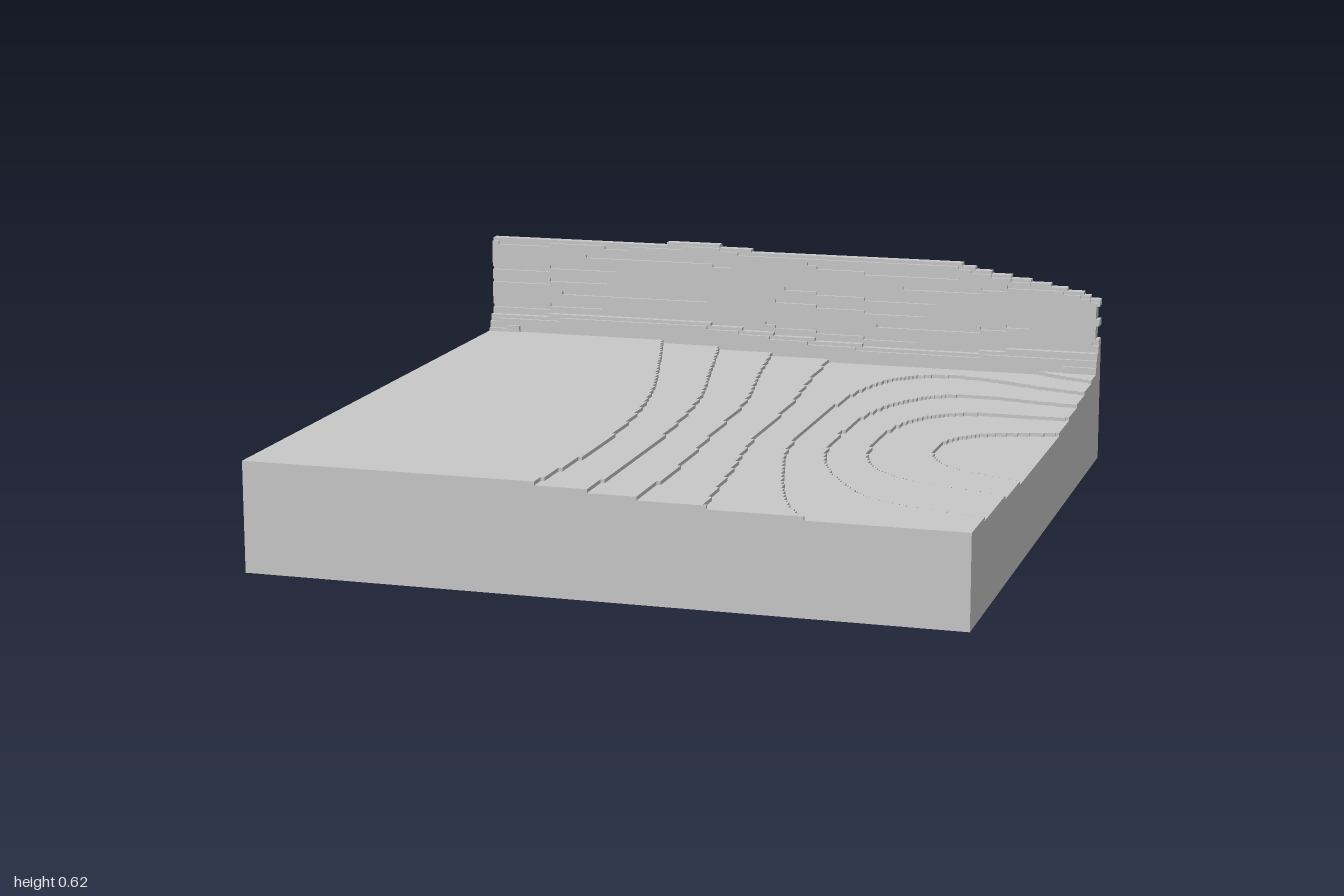
import * as THREE from 'three';

const N = 192;            // cells along the long side
const S = 2 / N;          // size of one cell
const WALL_BASE = 21;     // row at which the back wall starts
const WALL_ROWS = 42;

// Linear interpolation through [x, y] points
function along(points, x) {
  for (let i = 1; i < points.length; i++) {
    const [x0, y0] = points[i - 1], [x1, y1] = points[i];
    if (x <= x1) return THREE.MathUtils.mapLinear(x, x0, x1, y0, y1);
  }
  return points[points.length - 1][1];
}

// Smooth curve through evenly spaced values, x from -1 to 1
function smooth(values, x) {
  const n = values.length - 1;
  const f = (x + 1) / 2 * n;
  const i = Math.min(n - 1, Math.floor(f)), t = f - i;
  const [p0, p1, p2, p3] = [-1, 0, 1, 2].map((k) => {
    const q = i + k;
    if (q < 0) return 2 * values[0] - values[1];
    if (q > n) return 2 * values[n] - values[n - 1];
    return values[q];
  });
  return p1 + 0.5 * t * (p2 - p0 + t * (2 * p0 - 5 * p1 + 4 * p2 - p3 + t * (3 * (p1 - p2) + p3 - p0)));
}

// Stepped relief over a grid in x and y, rising along z; level(i, j) is in whole cells
function relief(cols, rows, level) {
  const grid = Array.from({ length: cols }, (_, i) => Array.from({ length: rows }, (_, j) => level(i, j)));
  const at = (i, j) => (grid[i] && grid[i][j]) || 0;
  const pos = [];
  const quad = (a, b, c, d) => {
    for (const p of [a, b, c, a, c, d]) pos.push(p[0] * S - 1, p[1] * S, p[2] * S);
  };
  // Join neighbouring cells with the same key into one strip
  const runs = (count, key, emit) => {
    for (let a = 0; a < count;) {
      const k = key(a);
      let b = a + 1;
      while (b < count && key(b) === k) b++;
      emit(a, b);
      a = b;
    }
  };
  for (let j = 0; j <= rows; j++) {
    // treads and underside
    if (j < rows) runs(cols, (i) => at(i, j), (a, b) => {
      const h = at(a, j);
      if (!h) return;
      quad([a, j, h], [b, j, h], [b, j + 1, h], [a, j + 1, h]);
      quad([a, j, 0], [a, j + 1, 0], [b, j + 1, 0], [b, j, 0]);
    });
    // risers between rows, facing the lower side
    runs(cols, (i) => at(i, j - 1) * 1000 + at(i, j), (a, b) => {
      const p = at(a, j - 1), q = at(a, j);
      if (p !== q) quad([a, j, p], [b, j, p], [b, j, q], [a, j, q]);
    });
  }
  // risers between columns, facing the lower side
  for (let i = 0; i <= cols; i++) {
    runs(rows, (j) => at(i - 1, j) * 1000 + at(i, j), (a, b) => {
      const p = at(i - 1, a), q = at(i, a);
      if (p !== q) quad([i, a, p], [i, a, q], [i, b, q], [i, b, p]);
    });
  }
  const geometry = new THREE.BufferGeometry();
  geometry.setAttribute('position', new THREE.Float32BufferAttribute(pos, 3));
  geometry.computeVertexNormals();
  return geometry;
}

// Depth of the hollow in steps: rows from back to front, columns from -x to +x
const HOLLOW = [
  [-1.5, 0.2, 2.2, 4.2, 4.3, 2.7],
  [-2, -0.5, 1.7, 4.2, 6, 5.8],
  [-2, -1, 1.1, 4, 7.4, 8.3],
  [-2.5, -1.2, 0.7, 3.9, 7.4, 8.5],
  [-2, -1, 0.6, 3.6, 6.1, 6.8],
  [-2, -1, 0.8, 3.5, 5.1, 5.5],
];

function groundLevel(i, j) {
  if (j >= N - 4) return WALL_BASE;         // seat for the back wall
  const x = (i + 0.5) * S - 1, z = 1 - (j + 0.5) * S;
  const depth = smooth(HOLLOW.map((row) => smooth(row, x)), z);
  return 30 - THREE.MathUtils.clamp(Math.floor(depth), 0, 8);
}

const CREST = [[-1, 0.617], [-0.55, 0.61], [-0.4, 0.62], [-0.24, 0.625], [-0.2, 0.612], [0, 0.605],
  [0.4, 0.608], [0.55, 0.602], [0.62, 0.585], [0.8, 0.555], [0.94, 0.528], [1, 0.505]];
const LEDGE = [[-1, 0.36], [-0.8, 0.37], [-0.5, 0.38], [-0.3, 0.375], [0, 0.345],
  [0.3, 0.325], [0.6, 0.325], [0.72, 0.34], [1, 0.34]];

function wallLevel(i, j) {
  const x = (i + 0.5) * S - 1, y = (WALL_BASE + j + 0.5) * S;
  const crest = along(CREST, x), ledge = along(LEDGE, x);
  if (y > crest) return 0;
  if (i === N - 1 && y > 0.39 && y < 0.49 && Math.sin(y * 90) < 0.6) return 0;   // chipped end
  if (y < ledge - 0.035) return Math.abs(x) > 0.9 ? 8 : 7;
  if (y < ledge - 0.012) return 7;
  if (y < ledge) return 6;
  if (y > crest - 0.012) return 3;                                               // worn crest
  const layer = Math.floor((y - ledge) / S);
  const groove = Math.sin(x * 6 + layer * layer * 1.7);
  return layer % 4 === 2 && groove > 0.1 ? 3 : 4;
}

export function createModel() {
  const model = new THREE.Group();
  model.name = 'terrainBlock';
  const stone = new THREE.MeshStandardMaterial({ color: 0xc8c8c8 });
  stone.name = 'stone grey';

  // Ground slab with a terraced hollow
  const ground = new THREE.Mesh(relief(N, N, groundLevel), stone);
  ground.name = 'terracedGround';
  ground.rotation.x = -Math.PI / 2;
  ground.position.z = 1;

  // Rough wall along the back edge
  const wall = new THREE.Mesh(relief(N, WALL_ROWS, wallLevel), stone);
  wall.name = 'backWall';
  wall.position.set(0, WALL_BASE * S, -1);

  model.add(ground, wall);
  return model;
}
